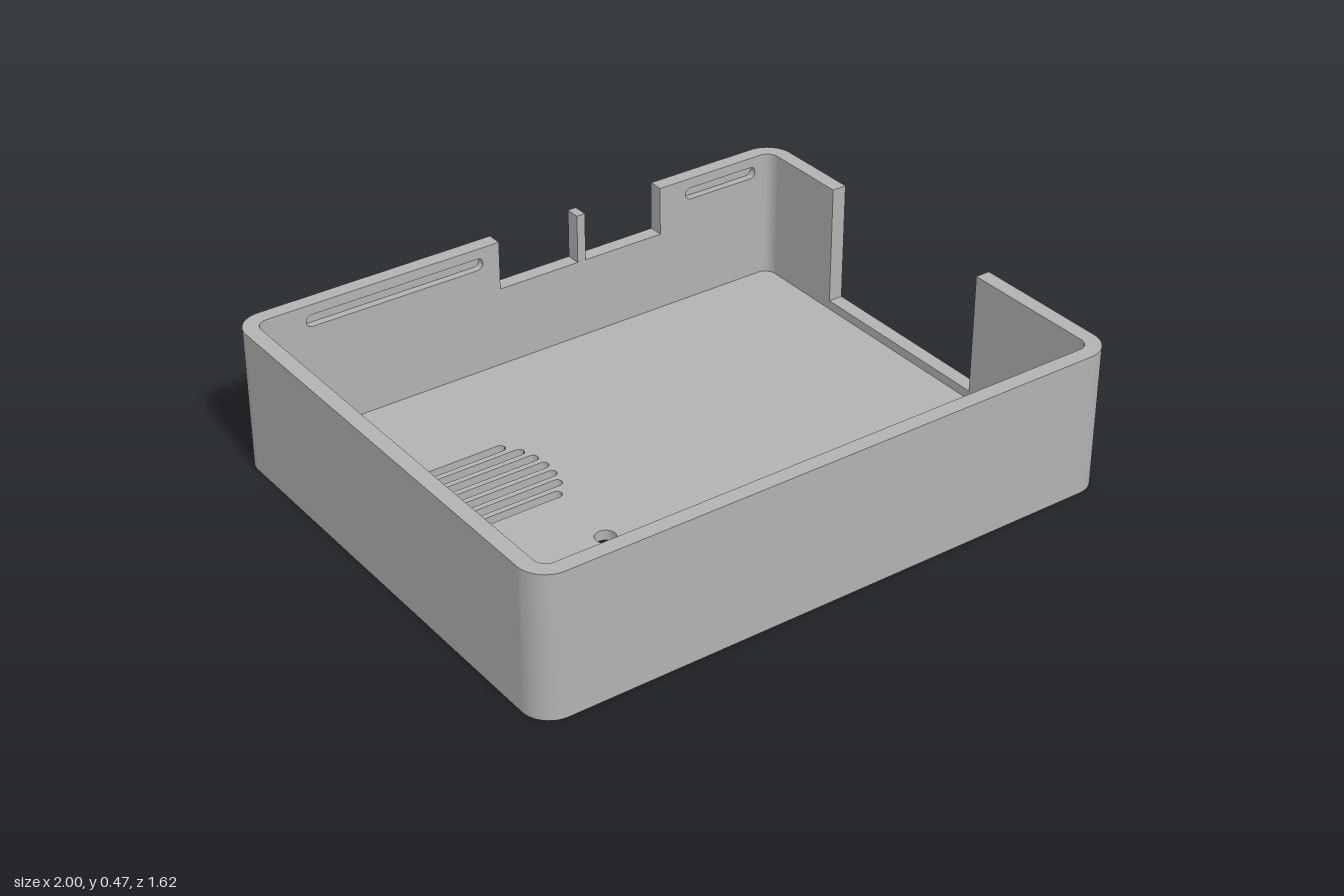
import * as THREE from 'three';
import { toCreasedNormals } from 'three/addons/utils/BufferGeometryUtils.js';

const W = 1, D = 0.81, H = 0.47;   // half width, half depth, height
const WALL = 0.05, FLOOR = 0.035, R = 0.09;
const CX = W - R, CZ = D - R;      // corner centres

// Stadium or rounded slot, given by centre, half length, half height and end radius
function slot(cx, cy, hx, hy, r = hy, Type = THREE.Path) {
  const p = new Type();
  p.absarc(cx + hx - r, cy + hy - r, r, 0, Math.PI / 2);
  p.absarc(cx - hx + r, cy + hy - r, r, Math.PI / 2, Math.PI);
  p.absarc(cx - hx + r, cy - hy + r, r, Math.PI, Math.PI * 1.5);
  p.absarc(cx + hx - r, cy - hy + r, r, Math.PI * 1.5, Math.PI * 2);
  p.closePath();
  return p;
}

function circle(x, y, r) {
  const p = new THREE.Path();
  p.absarc(x, y, r, 0, Math.PI * 2);
  return p;
}

const polygon = (points) => new THREE.Shape(points.map(([x, y]) => new THREE.Vector2(x, y)));

function extrude(shape, depth) {
  return new THREE.ExtrudeGeometry(shape, { depth, bevelEnabled: false, curveSegments: 14 });
}

export function createModel() {
  const model = new THREE.Group();
  model.name = 'enclosure';
  const grey = new THREE.MeshStandardMaterial({ color: 0xb2b2b2 });
  grey.name = 'grey plastic';

  function add(name, geometry) {
    const mesh = new THREE.Mesh(toCreasedNormals(geometry, 0.6), grey);
    mesh.name = name;
    model.add(mesh);
  }

  // Floor plate with speaker grille, round holes and display window (shape y = -z)
  const floor = slot(0, 0, W, D, R, THREE.Shape);
  const grille = [0.18, 0.215, 0.23, 0.235, 0.23, 0.215, 0.18];
  grille.forEach((half, i) => floor.holes.push(slot(-0.54, 0.349 - i * 0.051, half, 0.016)));
  floor.holes.push(
    circle(-0.385, -0.22, 0.033),
    circle(-0.24, -0.325, 0.052),
    circle(-0.24, -0.455, 0.052),
    slot(0.077, -0.635, 0.677, 0.085, 0.01)
  );
  add('floor', extrude(floor, FLOOR).rotateX(-Math.PI / 2));

  // Rounded corner columns
  [[1, 1], [-1, 1], [-1, -1], [1, -1]].forEach(([sx, sy], k) => {
    const a = k * Math.PI / 2, b = a + Math.PI / 2;
    const ring = new THREE.Shape();
    ring.absarc(sx * CX, sy * CZ, R, a, b, false);
    ring.absarc(sx * CX, sy * CZ, R - WALL, b, a, true);
    ring.closePath();
    add('corner', extrude(ring, H - FLOOR).rotateX(-Math.PI / 2).translate(0, FLOOR, 0));
  });

  // Front and back walls: a plain outer skin and an inner skin with snap grooves
  const frontOutline = [[-CX, FLOOR], [CX, FLOOR], [CX, H], [-CX, H]];
  const sill = 0.305;
  const backOutline = [
    [-CX, FLOOR], [CX, FLOOR], [CX, H], [0.51, H], [0.51, sill], [0.22, sill], [0.22, H],
    [0.19, H], [0.19, sill], [-0.1, sill], [-0.1, H], [-CX, H]
  ];
  function groovedWall(name, outline, grooves, side) {
    const skin = WALL / 2;
    const inner = polygon(outline);
    for (const [x0, x1] of grooves) {
      inner.holes.push(slot((x0 + x1) / 2, 0.416, (x1 - x0) / 2, 0.02));
    }
    const outerZ = side > 0 ? D - skin : -D;
    add(name + 'Outer', extrude(polygon(outline), skin).translate(0, 0, outerZ));
    add(name + 'Inner', extrude(inner, skin).translate(0, 0, outerZ - side * skin));
  }
  groovedWall('frontWall', frontOutline, [[-0.73, -0.08], [0.04, 0.75]], 1);
  groovedWall('backWall', backOutline, [[-0.78, -0.16], [0.61, 0.89]], -1);

  // Side walls (shape x = -z), the left one with a deep opening
  const plainSide = [[-CZ, FLOOR], [CZ, FLOOR], [CZ, H], [-CZ, H]];
  const openSide = [
    [-CZ, FLOOR], [CZ, FLOOR], [CZ, H], [0.43, H], [0.43, 0.065],
    [-0.26, 0.065], [-0.26, H], [-CZ, H]
  ];
  add('rightWall', extrude(polygon(plainSide), WALL).rotateY(Math.PI / 2).translate(-W, 0, 0));
  add('leftWall', extrude(polygon(openSide), WALL).rotateY(Math.PI / 2).translate(W - WALL, 0, 0));

  return model;
}
